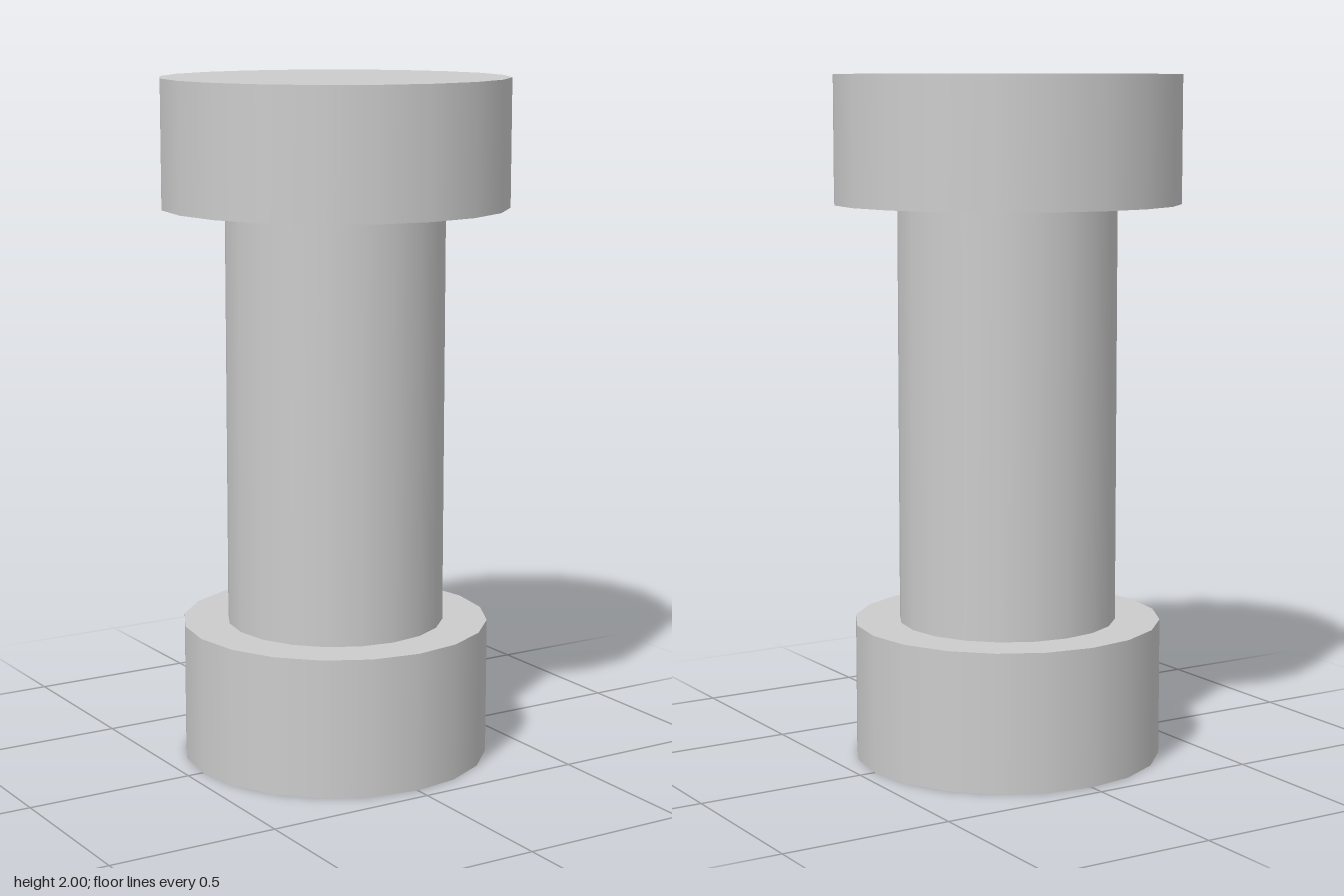
import * as THREE from 'three';

const SIDES = 20;

export function createModel() {
  const group = new THREE.Group();
  const material = new THREE.MeshStandardMaterial({ color: 0xcccccc });

  // Upright cylinder spanning two heights
  function addDrum(name, radius, bottom, top) {
    const geometry = new THREE.CylinderGeometry(radius, radius, top - bottom, SIDES);
    const mesh = new THREE.Mesh(geometry, material);
    mesh.name = name;
    mesh.position.y = (bottom + top) / 2;
    group.add(mesh);
  }

  addDrum('base', 0.452, 0, 0.405);
  addDrum('shaft', 0.32, 0.405, 1.63);
  addDrum('cap', 0.505, 1.63, 2);

  return group;
}
